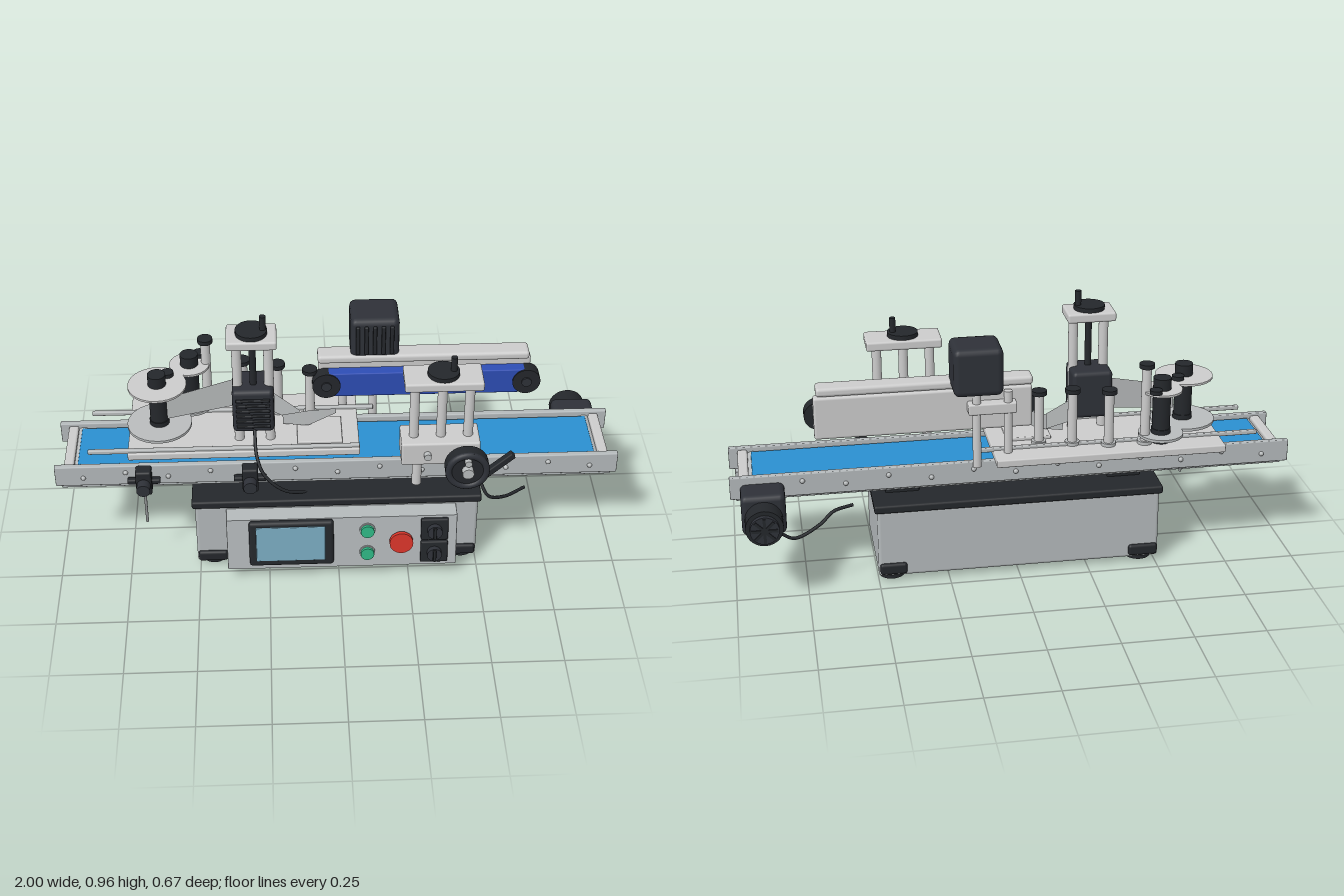
import * as THREE from 'three';
import { RoundedBoxGeometry } from 'three/addons/geometries/RoundedBoxGeometry.js';

const mat = (c) => new THREE.MeshStandardMaterial({ color: c, side: THREE.DoubleSide });
const body = mat(0xb4b9bb), light = mat(0xd6d9d7), steel = mat(0xb9bcbd), dark = mat(0x24272b),
  motorMat = mat(0x2e3138), belt = mat(0x2a8fd0), padBlue = mat(0x2d4db4), shade = mat(0x8f9293),
  green = mat(0x2fb583), red = mat(0xd8352a), display = mat(0x78a9bf);

export function createModel() {
  const root = new THREE.Group();
  root.name = 'labellingMachine';
  const add = (name, geo, m, parent = root) => {
    const mesh = new THREE.Mesh(geo, m);
    mesh.name = name;
    parent.add(mesh);
    return mesh;
  };
  // Box given by its limits on each axis
  const box = (name, m, x0, x1, y0, y1, z0, z1, r = 0.006, parent = root) => {
    const w = x1 - x0, h = y1 - y0, d = z1 - z0;
    const g = r ? new RoundedBoxGeometry(w, h, d, 2, Math.min(r, w / 2.1, h / 2.1, d / 2.1)) : new THREE.BoxGeometry(w, h, d);
    const b = add(name, g, m, parent);
    b.position.set((x0 + x1) / 2, (y0 + y1) / 2, (z0 + z1) / 2);
    return b;
  };
  // Upright cylinder from y0 to y1
  const post = (name, m, x, z, r, y0, y1, parent = root) => {
    const c = add(name, new THREE.CylinderGeometry(r, r, y1 - y0, 28), m, parent);
    c.position.set(x, (y0 + y1) / 2, z);
    return c;
  };
  // Cylinder along z
  const axle = (name, m, x, y, r, z0, z1, parent = root) => {
    const c = add(name, new THREE.CylinderGeometry(r, r, z1 - z0, 28), m, parent);
    c.rotation.x = Math.PI / 2;
    c.position.set(x, y, (z0 + z1) / 2);
    return c;
  };
  const cable = (name, pts, r = 0.006) => add(name, new THREE.TubeGeometry(
    new THREE.CatmullRomCurve3(pts.map((p) => new THREE.Vector3(...p))), 40, r, 8), dark);

  // Cabinet, lid, feet and corner guards
  box('cabinet', body, -0.51, 0.5, 0.02, 0.275, -0.2, 0.215, 0.012);
  box('cabinetLid', dark, -0.52, 0.51, 0.27, 0.3, -0.21, 0.222, 0.008);
  for (const x of [-0.45, 0.45]) for (const z of [-0.137, 0.155]) {
    post('foot', dark, x, z, 0.045, 0, 0.022);
    const front = z > 0;
    box('cornerGuard', dark, x < 0 ? -0.505 : 0.4, x < 0 ? -0.4 : 0.495, 0.03, 0.072,
      front ? 0.19 : -0.212, front ? 0.228 : -0.18, 0.01);
  }

  // Sloped control panel
  const side = new THREE.Shape([[0.21, 0.055], [0.293, 0.055], [0.276, 0.26], [0.21, 0.26]].map((p) => new THREE.Vector2(...p)));
  const pg = new THREE.ExtrudeGeometry(side, { depth: 0.81, bevelSize: 0.004, bevelThickness: 0.004, bevelSegments: 2 });
  pg.rotateY(-Math.PI / 2).translate(0.415, 0, 0);
  add('controlPanel', pg, body);
  const panel = new THREE.Group();
  panel.name = 'panelControls';
  panel.position.set(0, 0.16, 0.288);
  panel.rotation.x = -0.085;
  root.add(panel);
  box('screenFrame', dark, -0.32, -0.02, -0.085, 0.103, -0.005, 0.022, 0.012, panel);
  box('screen', display, -0.295, -0.05, -0.06, 0.085, 0.015, 0.025, 0.003, panel);
  for (const y of [-0.047, 0.05]) {
    axle('greenButtonRim', steel, 0.1, y, 0.028, -0.005, 0.006, panel);
    axle('greenButton', green, 0.1, y, 0.024, 0, 0.018, panel);
    box('switchPlate', dark, 0.29, 0.387, y - 0.045, y + 0.045, -0.005, 0.014, 0.006, panel);
    axle('switchKnob', motorMat, 0.338, y, 0.026, 0.01, 0.034, panel);
    box('switchGrip', dark, 0.332, 0.344, y - 0.024, y + 0.024, 0.03, 0.042, 0.003, panel);
  }
  axle('stopButtonBase', dark, 0.22, 0.003, 0.03, -0.005, 0.012, panel);
  axle('stopButton', red, 0.22, 0.003, 0.042, 0.01, 0.025, panel);

  // Conveyor frame, belt and rollers
  for (const [z0, z1, lip] of [[0.122, 0.144, 1], [-0.134, -0.112, -1]]) {
    box('conveyorRail', body, -1, 1, 0.33, 0.412, z0, z1, 0.004);
    const e = lip > 0 ? z0 : z1;
    box('railLip', body, -0.98, 0.98, 0.315, 0.332, Math.min(e, e - lip * 0.03), Math.max(e, e - lip * 0.03) + 0.012, 0.003);
    for (let i = 0; i < 13; i++) {
      const b = add('railBolt', new THREE.SphereGeometry(0.009, 12, 8), steel);
      b.position.set(-0.9 + i * 0.15, i % 2 ? 0.385 : 0.365, lip > 0 ? 0.145 : -0.135);
    }
  }
  box('conveyorBelt', belt, -0.92, 0.92, 0.38, 0.4, -0.102, 0.112, 0.004);
  box('conveyorUnderside', shade, -0.96, 0.96, 0.318, 0.38, -0.113, 0.123, 0.004);
  for (const s of [-1, 1]) {
    box('endBar', light, s * 0.95 - 0.018, s * 0.95 + 0.018, 0.317, 0.405, -0.113, 0.123, 0.008);
    axle('endRoller', steel, s * 0.915, 0.372, 0.024, -0.113, 0.123);
  }
  for (const x of [-0.4, 0.4]) box('conveyorMount', dark, x - 0.06, x + 0.06, 0.295, 0.32, -0.1, 0.11);

  // Conveyor drive motor
  box('driveGearbox', motorMat, 0.813, 0.965, 0.237, 0.385, -0.24, -0.085, 0.02);
  axle('driveMotor', dark, 0.89, 0.3, 0.065, -0.312, -0.235);
  axle('driveMotorCap', motorMat, 0.89, 0.3, 0.05, -0.33, -0.31);
  for (let i = 0; i < 4; i++) {
    const f = box('fanRib', dark, -0.045, 0.045, -0.005, 0.005, -0.003, 0.003, 0);
    f.position.set(0.89, 0.3, -0.331);
    f.rotation.z = i * Math.PI / 4;
  }
  cable('driveCable', [[0.84, 0.25, -0.25], [0.79, 0.222, -0.245], [0.7, 0.25, -0.21], [0.65, 0.282, -0.18], [0.58, 0.29, -0.155]]);

  // Label deck with side rods
  box('labelDeck', light, -0.74, 0.08, 0.42, 0.448, -0.22, 0.123, 0.005);
  box('peelDeck', light, -0.14, 0.02, 0.446, 0.46, -0.06, 0.09, 0.004);
  for (const z of [-0.123, 0.105]) {
    const r = box('deckRod', steel, -0.88, z < 0 ? 0.14 : 0.08, 0.442, 0.458, z - 0.008, z + 0.008, 0.004);
    r.position.y = 0.45;
  }

  // Label reels
  for (const [x, z, r, top] of [[-0.63, -0.02, 0.115, 0.64], [-0.52, -0.14, 0.08, 0.64]]) {
    post('reelLowerDisc', steel, x, z, r, 0.472, 0.482);
    post('reelBase', dark, x, z, 0.035, 0.448, 0.5);
    post('reelCore', dark, x, z, 0.032, 0.48, top);
    post('reelUpperDisc', light, x, z, r * 0.9, top, top + 0.008);
    post('reelKnob', dark, x, z, 0.032, top + 0.008, top + 0.05);
    post('reelPin', dark, x + 0.035, z - 0.05, 0.022, top + 0.01, top + 0.025);
  }
  // Guide posts
  for (const [x, z, y] of [[-0.46, -0.15, 0.75], [-0.33, -0.145, 0.66], [-0.205, -0.115, 0.66], [-0.09, -0.09, 0.65]]) {
    post('guidePost', light, x, z, 0.017, 0.446, y - 0.015);
    post('guideFlange', steel, x, z, 0.026, 0.446, 0.46);
    post('guideCap', dark, x, z, 0.027, y - 0.016, y);
  }
  // Label web running past the sensor head: bottom and top edge at each point
  const web = (name, pts) => {
    const v = pts.flatMap(([x, lo, hi, z]) => [x, lo, z, x, hi, z]), idx = [];
    for (let i = 0; i < pts.length - 1; i++) idx.push(2 * i, 2 * i + 2, 2 * i + 1, 2 * i + 1, 2 * i + 2, 2 * i + 3);
    const g = new THREE.BufferGeometry();
    g.setAttribute('position', new THREE.Float32BufferAttribute(v, 3));
    g.setIndex(idx);
    g.computeVertexNormals();
    add(name, g, steel);
  };
  web('labelWebIn', [[-0.6, 0.51, 0.6, 0.0], [-0.36, 0.54, 0.655, -0.03]]);
  web('labelWebOut', [[-0.24, 0.51, 0.6, -0.04], [-0.13, 0.465, 0.525, -0.012]]);
  web('peelBlade', [[-0.19, 0.46, 0.5, -0.02], [-0.1, 0.465, 0.53, 0], [0.0, 0.525, 0.545, 0.01]]);

  // Lifting column: top plate, hand disc and crank pin
  const column = (name, x0, x1, z0, z1, y, posts, postBase, crank) => {
    const g = new THREE.Group();
    g.name = name;
    root.add(g);
    const cx = (x0 + x1) / 2, cz = (z0 + z1) / 2;
    box('columnTop', light, x0, x1, y, y + 0.034, z0, z1, 0.008, g);
    for (const x of posts) post('columnRod', light, x, cz, 0.017, postBase, y + 0.005, g);
    post('handDisc', dark, cx, cz, 0.055, y + 0.034, y + 0.05, g);
    post('crankPin', dark, cx + crank, cz, 0.011, y + 0.04, y + 0.102, g);
    return g;
  };
  const sensor = column('sensorColumn', -0.378, -0.205, -0.02, 0.103, 0.862, [-0.345, -0.235], 0.445, 0.04);
  post('leadScrew', dark, -0.29, 0.04, 0.012, 0.6, 0.87, sensor);
  box('sensorHead', motorMat, -0.365, -0.22, 0.51, 0.685, -0.045, 0.095, 0.016, sensor);
  for (let i = 0; i < 6; i++) box('coolingFin', dark, -0.352, -0.233, 0.535 + i * 0.022, 0.545 + i * 0.022, 0.08, 0.104, 0.003, sensor);
  cable('sensorCable', [[-0.29, 0.52, 0.09], [-0.285, 0.45, 0.15], [-0.26, 0.39, 0.185], [-0.19, 0.33, 0.2], [-0.11, 0.295, 0.17]]);

  // Height adjuster at the front with handwheel
  const adj = column('heightAdjuster', 0.225, 0.495, 0.098, 0.222, 0.757, [0.265, 0.36, 0.455], 0.5, 0.035);
  box('adjusterBlock', light, 0.22, 0.495, 0.44, 0.532, 0.095, 0.215, 0.008, adj);
  post('adjusterLeg', light, 0.28, 0.16, 0.017, 0.32, 0.45, adj);
  axle('adjusterBolt', steel, 0.31, 0.487, 0.013, 0.21, 0.235, adj);
  axle('wheelShaft', steel, 0.445, 0.465, 0.02, 0.2, 0.305, adj);
  axle('handwheel', dark, 0.445, 0.46, 0.077, 0.235, 0.28, adj);
  const rim = add('handwheelRim', new THREE.TorusGeometry(0.066, 0.012, 10, 36), motorMat, adj);
  rim.position.set(0.445, 0.46, 0.277);
  axle('wheelHandle', steel, 0.445, 0.505, 0.012, 0.275, 0.3, adj);
  const lever = box('sensorLever', dark, -0.085, 0.085, -0.012, 0.012, -0.014, 0.014, 0.005);
  lever.position.set(0.55, 0.415, 0.205);
  lever.rotation.z = 0.74;
  cable('leverCable', [[0.5, 0.36, 0.21], [0.53, 0.31, 0.235], [0.59, 0.285, 0.21], [0.67, 0.28, 0.155]]);

  // Rail clamps
  for (const x of [-0.685, -0.31]) {
    box('clampBody', dark, x - 0.028, x + 0.028, 0.315, 0.415, 0.14, 0.19, 0.008);
    box('clampBar', dark, x - 0.058, x + 0.058, 0.352, 0.372, 0.15, 0.175, 0.006);
    axle('clampKnob', motorMat, x, 0.362, 0.024, 0.185, 0.225);
  }
  post('clampRod', shade, -0.685, 0.165, 0.005, 0.175, 0.32);

  // Pressing belt unit at the back
  box('pressBacking', light, -0.06, 0.7, 0.53, 0.685, -0.125, -0.085, 0.01);
  box('pressTopBar', light, -0.062, 0.69, 0.688, 0.72, -0.13, -0.057, 0.012);
  box('pressBelt', padBlue, -0.03, 0.68, 0.556, 0.654, -0.088, -0.045, 0.004);
  for (const x of [-0.032, 0.682]) {
    axle('pressRoller', dark, x, 0.605, 0.05, -0.09, -0.04);
    axle('pressRollerHub', motorMat, x, 0.605, 0.018, -0.045, -0.034);
  }
  for (const x of [0.03, 0.14]) post('pressSupport', light, x, -0.147, 0.015, 0.4, 0.68);
  box('pressSupportClamp', light, 0.0, 0.17, 0.6, 0.64, -0.165, -0.12);
  box('pressMotor', motorMat, 0.055, 0.227, 0.69, 0.862, -0.222, -0.065, 0.022);
  for (let i = 0; i < 5; i++) box('pressMotorRib', dark, 0.073 + i * 0.03, 0.087 + i * 0.03, 0.725, 0.84, -0.08, -0.056, 0.004);

  return root;
}
